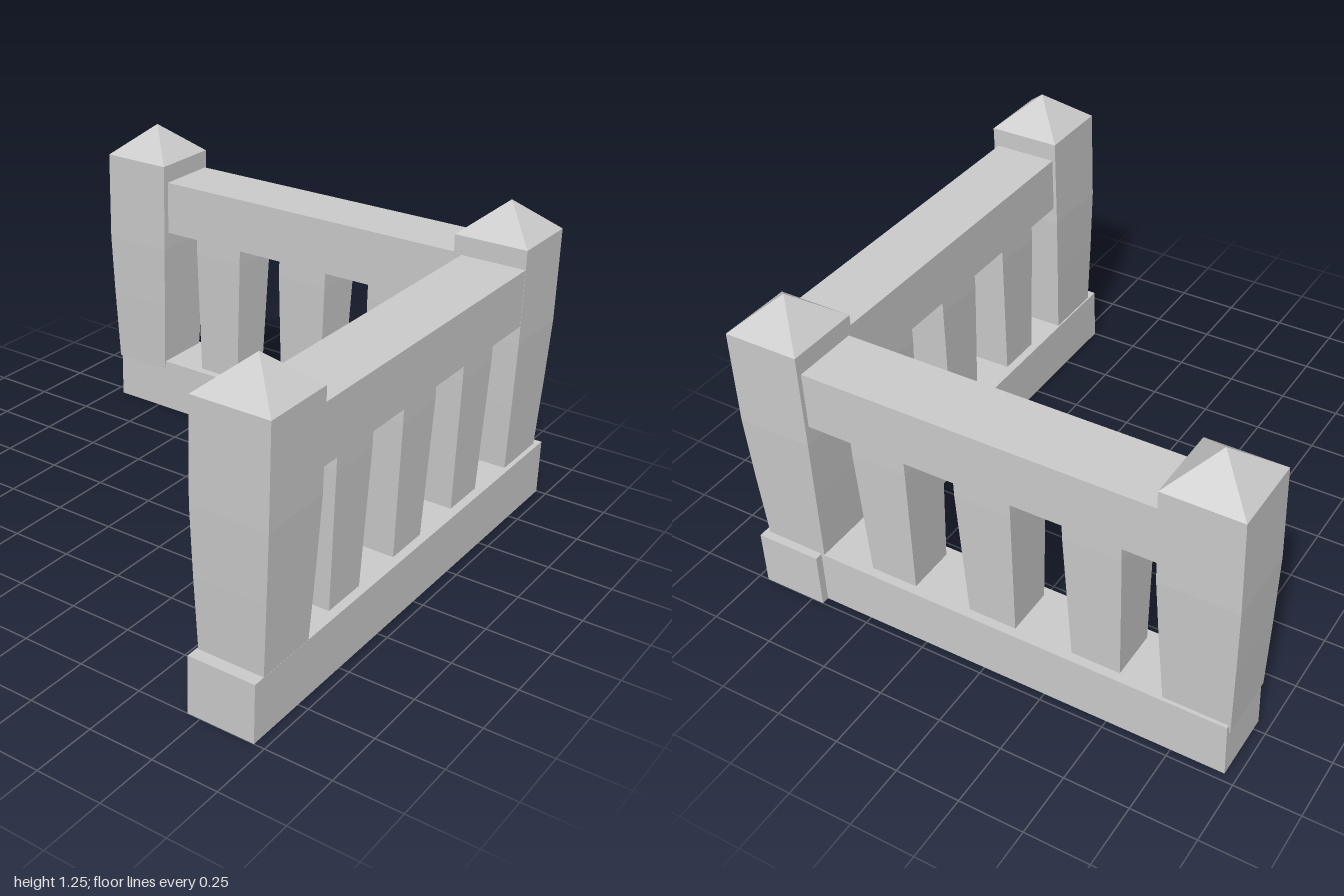
import * as THREE from 'three';

const material = new THREE.MeshStandardMaterial({ color: 0xcccccc, flatShading: true });

// Square-section solid from [halfWidth, y] pairs, listed bottom to top
function squareTurned(profile) {
  const points = profile.map(([half, y]) => new THREE.Vector2(half * Math.SQRT2, y));
  const geometry = new THREE.LatheGeometry(points, 4, Math.PI / 4).toNonIndexed();
  geometry.computeVertexNormals();
  return geometry;
}

export function createModel() {
  const model = new THREE.Group();
  model.name = 'cornerFence';

  function add(name, geometry, x, y, z) {
    const mesh = new THREE.Mesh(geometry, material);
    mesh.name = name;
    mesh.position.set(x, y, z);
    model.add(mesh);
  }

  // Box given by its limits on each axis
  function addBeam(name, [x0, x1], [y0, y1], [z0, z1]) {
    add(name, new THREE.BoxGeometry(x1 - x0, y1 - y0, z1 - z0),
      (x0 + x1) / 2, (y0 + y1) / 2, (z0 + z1) / 2);
  }

  // Tapered posts with pyramid caps
  const post = squareTurned([
    [0, 0.19], [0.125, 0.19], [0.138, 0.5], [0.147, 0.76], [0.147, 1.13], [0, 1.255],
  ]);
  add('endPostBack', post, -0.835, 0, -0.83);
  add('cornerPost', post, 0.814, 0, -0.841);
  add('endPostFront', post, 0.833, 0, 0.825);

  // Base beams and top rails of the two runs
  const baseY = [0, 0.225], railY = [0.833, 1.055];
  const backZ = [-0.97, -0.71], sideX = [0.7, 0.96];
  addBeam('backBase', [-0.955, 0.71], baseY, backZ);
  addBeam('sideBase', sideX, baseY, [-1, 1]);
  addBeam('backRail', [-0.83, 0.8], railY, backZ);
  addBeam('sideRail', sideX, railY, [-0.83, 0.82]);

  // Tapered balusters between base and rail
  const baluster = squareTurned([
    [0, 0.2], [0.094, 0.2], [0.11, 0.76], [0.11, 0.85], [0, 0.85],
  ]);
  for (const x of [-0.44, -0.023, 0.397]) add('backBaluster', baluster, x, 0, -0.84);
  for (const z of [0.427, 0.01, -0.408]) add('sideBaluster', baluster, 0.83, 0, z);

  return model;
}
